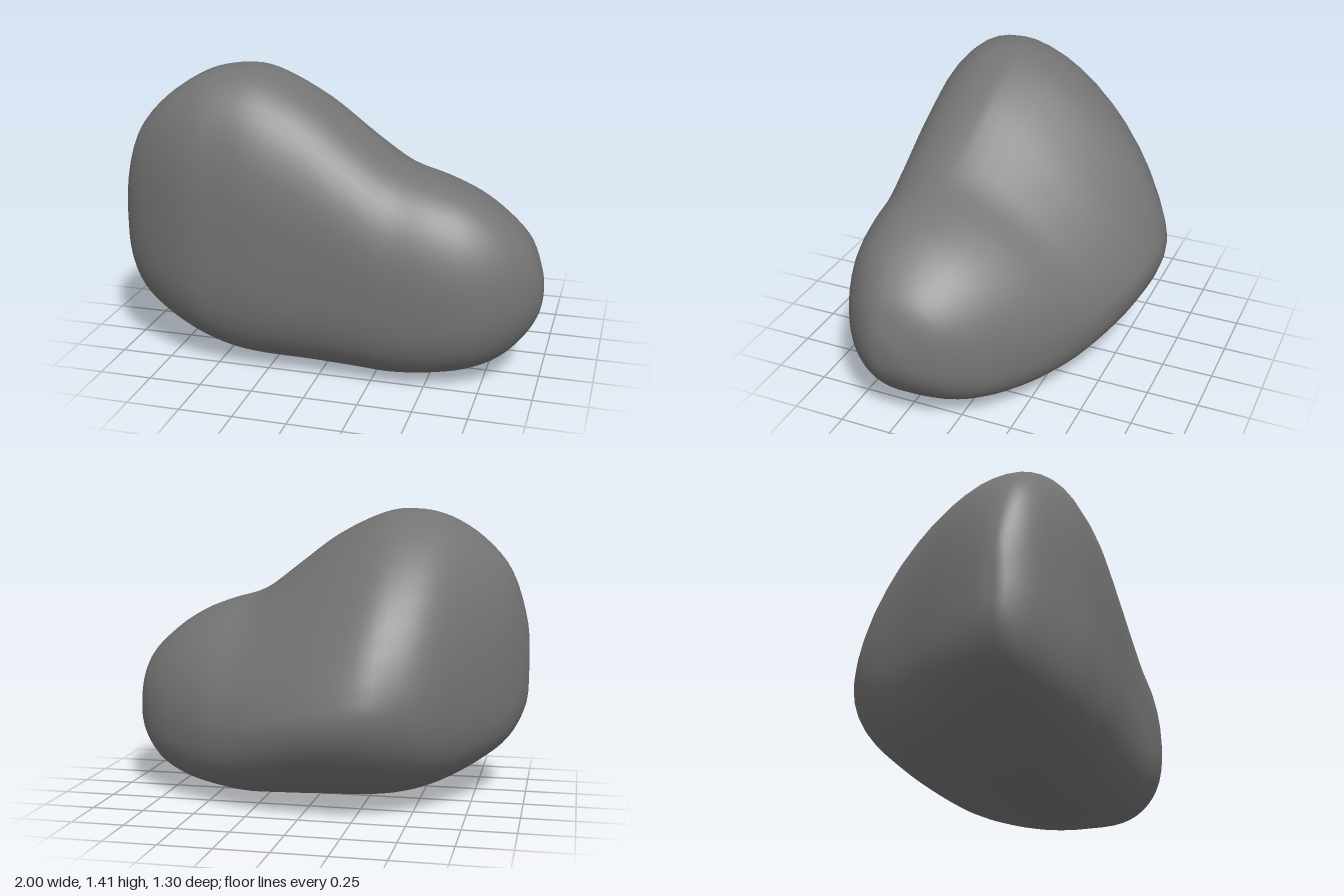
import * as THREE from 'three';

// Stations along x: x, top y, bottom y, back z, front z,
// then the fullness of the upper back, lower back and lower front
const stations = [
  [-1.0, 0.62, 0.62, 0.32, 0.32, 2.1, 2.4, 2.3],
  [-0.99, 0.84, 0.44, 0.24, 0.39, 2.1, 2.5, 2.3],
  [-0.91, 1.10, 0.28, 0.05, 0.48, 2.05, 2.8, 2.5],
  [-0.77, 1.27, 0.175, -0.19, 0.56, 1.88, 2.7, 2.95],
  [-0.60, 1.38, 0.09, -0.46, 0.62, 1.69, 2.3, 3.3],
  [-0.44, 1.415, 0.035, -0.59, 0.637, 1.58, 2.0, 3.4],
  [-0.28, 1.395, 0.015, -0.65, 0.645, 1.49, 1.93, 3.4],
  [-0.05, 1.285, 0.01, -0.63, 0.638, 1.40, 2.0, 3.3],
  [0.17, 1.125, 0.005, -0.553, 0.636, 1.48, 2.2, 3.12],
  [0.34, 1.005, 0.005, -0.468, 0.636, 1.67, 2.45, 3.0],
  [0.52, 0.948, 0.025, -0.37, 0.628, 1.83, 2.7, 2.82],
  [0.68, 0.885, 0.055, -0.26, 0.597, 1.95, 2.8, 2.5],
  [0.82, 0.79, 0.115, -0.14, 0.53, 2.08, 2.8, 2.2],
  [0.93, 0.675, 0.225, 0.0, 0.43, 2.2, 2.7, 2.1],
  [0.99, 0.53, 0.34, 0.16, 0.33, 2.2, 2.4, 2.1],
  [1.0, 0.44, 0.44, 0.24, 0.24, 2.2, 2.2, 2.1],
];

// Smooth blend between neighbouring stations
function stationAt(t) {
  const last = stations.length - 1;
  const i = Math.min(Math.floor(t), last - 1);
  const f = t - i;
  const [p0, p1, p2, p3] = [i - 1, i, i + 1, i + 2]
    .map((k) => stations[THREE.MathUtils.clamp(k, 0, last)]);
  return p1.map((b, k) => {
    const a = p0[k], c = p2[k], d = p3[k];
    return b + 0.5 * f * (c - a + f * (2 * a - 5 * b + 4 * c - d + f * (3 * (b - c) + d - a)));
  });
}

// Closed cross-section: four superellipse quarters, top > back > bottom > front
function section([x, top, bottom, back, front, upperBack, lowerBack, lowerFront], perQuarter) {
  const h = top - bottom, w = front - back;
  const topZ = back + 0.66 * w, bottomZ = back + 0.6 * w;
  const backY = bottom + 0.36 * h, frontY = bottom + 0.47 * h;
  const upperFront = 2.42 - 0.35 * x;
  const quarters = [
    [topZ, backY, back, top, upperBack, false],
    [bottomZ, backY, back, bottom, lowerBack, true],
    [bottomZ, frontY, front, bottom, lowerFront, false],
    [topZ, frontY, front, top, upperFront, true],
  ];
  const points = [];
  for (const [cz, cy, endZ, endY, power, startsAtSide] of quarters) {
    for (let j = 0; j < perQuarter; j++) {
      let a = (j / perQuarter) * Math.PI / 2;
      if (startsAtSide) a = Math.PI / 2 - a;
      const u = Math.pow(Math.max(Math.sin(a), 0), 2 / power);
      const v = Math.pow(Math.max(Math.cos(a), 0), 2 / power);
      points.push(x, cy + (endY - cy) * v, cz + (endZ - cz) * u);
    }
  }
  return points;
}

export function createModel() {
  const perQuarter = 12, perSpan = 4;
  const around = perQuarter * 4;
  const rings = (stations.length - 1) * perSpan;
  const positions = [], index = [];

  for (let i = 0; i <= rings; i++) {
    positions.push(...section(stationAt(i / perSpan), perQuarter));
  }
  // Quads between rings; the closed ends need only one triangle per step
  for (let i = 0; i < rings; i++) {
    for (let j = 0; j < around; j++) {
      const a = i * around + j, d = i * around + (j + 1) % around;
      const b = a + around, c = d + around;
      if (i > 0) index.push(a, b, d);
      if (i < rings - 1) index.push(b, c, d);
    }
  }

  const geometry = new THREE.BufferGeometry();
  geometry.setAttribute('position', new THREE.Float32BufferAttribute(positions, 3));
  geometry.setIndex(index);
  geometry.computeVertexNormals();

  // Boulder body
  const boulder = new THREE.Mesh(geometry, new THREE.MeshStandardMaterial({ color: 0x747474 }));
  boulder.name = 'boulder';
  const model = new THREE.Group();
  model.name = 'rock';
  model.add(boulder);
  return model;
}
